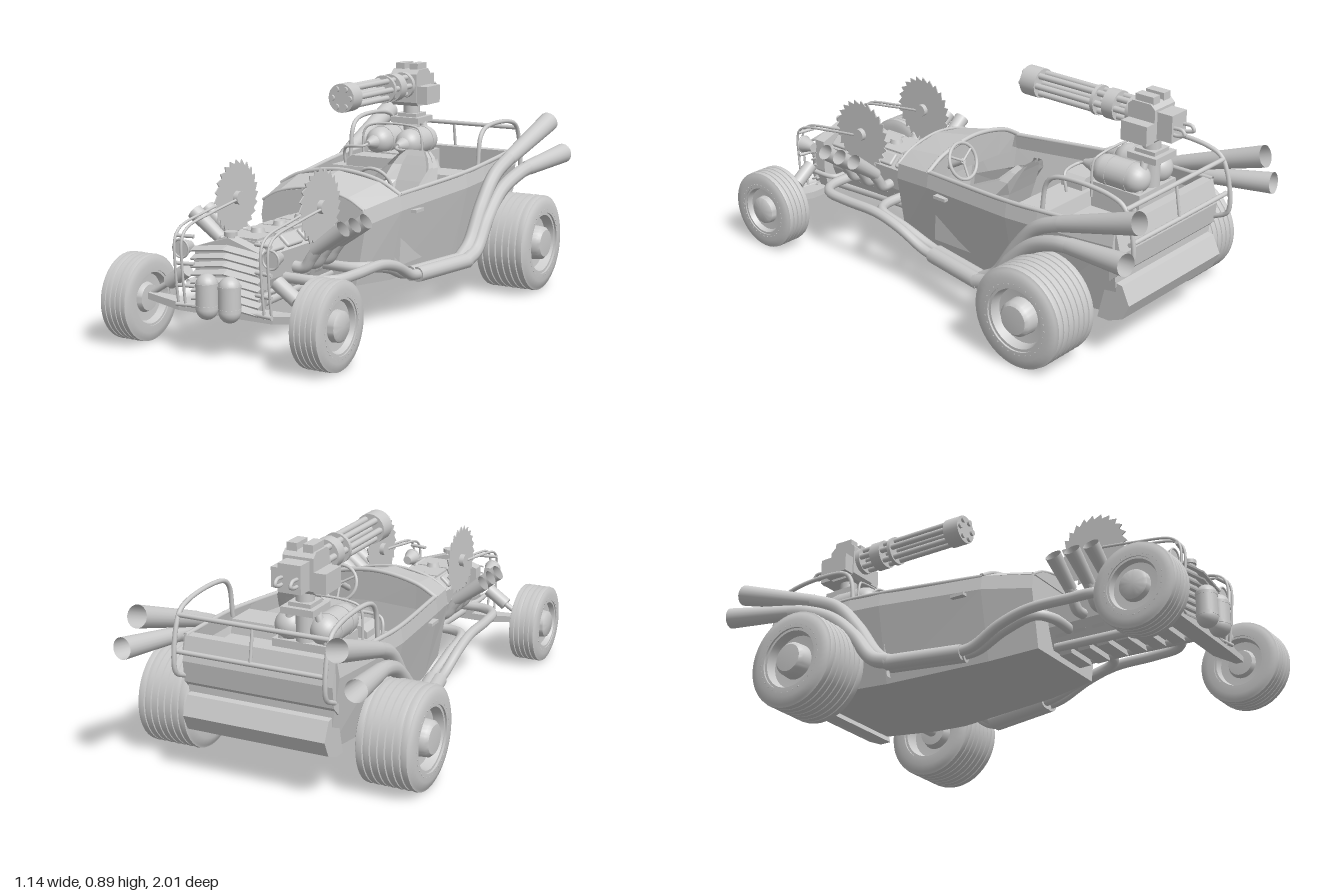
import * as THREE from 'three';
import { toCreasedNormals } from 'three/addons/utils/BufferGeometryUtils.js';
import { RoundedBoxGeometry } from 'three/addons/geometries/RoundedBoxGeometry.js';

const mat = new THREE.MeshStandardMaterial({ color: 0xcccccc });
const thin = new THREE.MeshStandardMaterial({ color: 0xcccccc, side: THREE.DoubleSide });
const V = (p) => new THREE.Vector3(...p);

export function createModel() {
  const root = new THREE.Group();
  let parent = root;
  const group = (name) => {
    parent = new THREE.Group();
    parent.name = name;
    root.add(parent);
    return parent;
  };
  const add = (name, geo, pos = [0, 0, 0], rot = [0, 0, 0], m = mat) => {
    const mesh = new THREE.Mesh(geo, m);
    mesh.name = name;
    mesh.position.set(...pos);
    mesh.rotation.set(...rot);
    parent.add(mesh);
    return mesh;
  };
  // box given by its minimum and maximum corners
  const box = (name, a, b) => add(name, new THREE.BoxGeometry(b[0] - a[0], b[1] - a[1], b[2] - a[2]),
    a.map((v, i) => (v + b[i]) / 2));
  // cylinder or cone between two points
  const rod = (name, a, b, r, r2 = r, open = false, seg = 16) => {
    const d = V(b).sub(V(a));
    const mesh = add(name, new THREE.CylinderGeometry(r2, r, d.length(), seg, 1, open), [0, 0, 0], [0, 0, 0], open ? thin : mat);
    mesh.position.copy(V(a).add(V(b)).multiplyScalar(0.5));
    mesh.quaternion.setFromUnitVectors(new THREE.Vector3(0, 1, 0), d.normalize());
  };
  const pipe = (name, pts, r) => add(name,
    new THREE.TubeGeometry(new THREE.CatmullRomCurve3(pts.map(V), false, 'centripetal'), pts.length * 7, r, 10), undefined, undefined, thin);
  const sidePipe = (name, s, pts, r) => pipe(name, pts.map(([x, y, z]) => [s * x, y, z]), r);
  // flat-sided skin through cross-sections with equal point counts
  const loft = (name, sections, closed = false, caps = []) => {
    const out = [];
    const n = sections[0].length;
    for (let i = 0; i + 1 < sections.length; i++) {
      for (let j = 0; j < (closed ? n : n - 1); j++) {
        const k = (j + 1) % n, [A, B] = [sections[i], sections[i + 1]];
        out.push(...A[j], ...B[j], ...B[k], ...A[j], ...B[k], ...A[k]);
      }
    }
    for (const c of caps) {
      const s = sections[c];
      for (let j = 1; j + 1 < n; j++) out.push(...s[0], ...s[c ? j + 1 : j], ...s[c ? j : j + 1]);
    }
    const g = new THREE.BufferGeometry();
    g.setAttribute('position', new THREE.Float32BufferAttribute(out, 3));
    g.computeVertexNormals();
    return add(name, g, undefined, undefined, thin);
  };

  // wheels: ribbed tyre, rim dished on both sides and hub cap
  const wheel = (s, x, y, z, r, w, ribs) => {
    const g = group((s > 0 ? 'left' : 'right') + (z > 0 ? 'Front' : 'Rear') + 'Wheel');
    const rim = r * 0.64, p = [[rim, -w], [r * 0.8, -w], [r * 0.93, -w * 0.93]];
    for (let i = 0; i < ribs; i++) {
      const c = -w * 0.9 + (i + 0.5) * 1.8 * w / ribs, h = 0.9 * w / ribs;
      p.push([r * 0.95, c - h], [r * 0.99, c - h * 0.8], [r, c], [r * 0.99, c + h * 0.8], [r * 0.95, c + h]);
    }
    p.push([r * 0.93, w * 0.93], [r * 0.8, w], [rim, w], [rim, -w]);
    const lathe = (q) => toCreasedNormals(new THREE.LatheGeometry(q.map((v) => new THREE.Vector2(...v)), 40), 0.7);
    const turn = [0, 0, -Math.PI / 2];
    add('tyre', lathe(p), [0, 0, 0], turn);
    add('rim', lathe([[0, -w * 0.4], [rim * 0.85, -w * 0.5], [rim * 0.92, -w * 0.93], [rim, -w * 0.93],
      [rim, w * 0.93], [rim * 0.92, w * 0.93], [rim * 0.85, w * 0.6], [0, w * 0.5]]), [0, 0, 0], turn);
    add('hubCap', lathe([[0, -w * 0.8], [r * 0.3, -w * 0.75], [r * 0.36, -w * 0.4], [r * 0.36, w * 0.5], [r * 0.34, w * 0.95], [r * 0.28, w * 1.06], [0, w * 1.1]]), [0, 0, 0], turn);
    for (let i = 0; i < 32; i++) {
      const a = i * Math.PI / 16;
      add('rimStud', new THREE.BoxGeometry(0.003, 0.004, 0.006), [w, Math.cos(a) * r * 0.7, Math.sin(a) * r * 0.7], [a, 0, 0]);
    }
    g.position.set(s * x, y, z);
    g.rotation.y = s > 0 ? 0 : Math.PI;
  };
  for (const s of [-1, 1]) {
    wheel(s, 0.398, 0.165, 0.84, 0.16, 0.061, 5);
    wheel(s, 0.448, 0.2, -0.59, 0.195, 0.112, 7);
  }

  // open body tub
  group('body');
  const tub = [[0.29, 0.22, 0.19, 0.45, 0.16], [0.09, 0.265, 0.22, 0.48, 0.145], [-0.35, 0.32, 0.265, 0.505, 0.14],
    [-0.5, 0.325, 0.27, 0.515, 0.15], [-0.83, 0.305, 0.27, 0.53, 0.19]];
  const ring = ([z, t, b, yt, yb], inset = 0) => [[-t + inset, yt, z], [-(t + 0.01) + inset, yt - 0.06, z], [-b + inset, yb + inset, z],
    [b - inset, yb + inset, z], [t + 0.01 - inset, yt - 0.06, z], [t - inset, yt, z]];
  loft('tub', tub.map((t) => ring(t)), false, [0, tub.length - 1]);
  loft('innerTub', tub.slice(1).map((t) => ring(t, 0.014)));
  for (const s of [-1, 1]) {
    pipe('rim', tub.slice(1).map(([z, t, , y]) => [s * (t - 0.006), y, z]), 0.009);
    box('doorHandle', [s * 0.292 - 0.012, 0.403, -0.03], [s * 0.292 + 0.012, 0.415, 0.03]);
  }
  const cowl = (z, w, y, h) => [-1, -0.68, 0, 0.68, 1].map((k, i) => [k * w, y + [0, 0.6, 1, 0.6, 0][i] * h, z]);
  loft('cowl', [cowl(0.295, 0.222, 0.45, 0.065), cowl(0.09, 0.267, 0.48, 0.075)], false, [0]);
  pipe('cowlRim', cowl(0.09, 0.267, 0.48, 0.075), 0.009);
  pipe('cowlFrontRim', cowl(0.29, 0.222, 0.45, 0.065), 0.006);
  loft('dashboard', [cowl(0.1, 0.262, 0.478, 0.07), cowl(0.11, 0.25, 0.4, 0.02)]);
  // rear bed, bulkhead and tail
  loft('bulkhead', [[[-0.29, 0.16, -0.33], [0.29, 0.16, -0.33]], [[-0.31, 0.485, -0.36], [0.31, 0.485, -0.36]],
    [[-0.31, 0.485, -0.49], [0.31, 0.485, -0.49]], [[-0.31, 0.43, -0.5], [0.31, 0.43, -0.5]], [[-0.295, 0.43, -0.83], [0.295, 0.43, -0.83]]]);
  const tail = (x, p) => p.map(([z, y]) => [x, y, z]);
  const roll = [[-0.75, 0.16], [-0.80, 0.16], [-0.86, 0.185], [-0.888, 0.245], [-0.855, 0.315], [-0.79, 0.325]];
  loft('tailRoll', [tail(-0.285, roll), tail(0.285, roll)], true, [0, 1]);
  const slope = [[-0.79, 0.53], [-0.83, 0.53], [-0.855, 0.44], [-0.845, 0.36], [-0.81, 0.325]];
  loft('tailPanel', [tail(-0.3, slope), tail(0.3, slope)], true, [0, 1]);

  // bed rails
  group('bedRails');
  for (const s of [-1, 1]) {
    pipe('sideRail', [[s * 0.3, 0.5, -0.5], [s * 0.3, 0.62, -0.52], [s * 0.3, 0.655, -0.56], [s * 0.3, 0.655, -0.8], [s * 0.3, 0.62, -0.87], [s * 0.3, 0.42, -0.905], [s * 0.3, 0.38, -0.84]], 0.009);
  }
  for (const [y, z] of [[0.62, -0.872], [0.49, -0.893]]) rod('rearBar', [-0.3, y, z], [0.3, y, z], 0.009);
  rod('railPost', [0, 0.49, -0.893], [0, 0.62, -0.872], 0.006);

  // driver's seat and steering wheel
  group('cockpit');
  const bucket = [[0.2, 0.125, -0.22, 0.29], [0.4, 0.13, -0.24, 0.3], [0.47, 0.125, -0.265, 0.16], [0.53, 0.105, -0.29, 0.05], [0.565, 0.08, -0.305, 0.03], [0.585, 0.055, -0.315, 0.02]];
  const shell = (f, dz) => bucket.map(([y, w, z, d]) => [[-1, d], [-1, d * 0.2], [-0.6, 0], [0.6, 0], [1, d * 0.2], [1, d]]
    .map(([k, e]) => [0.128 + k * w * f, y, z + e + dz]));
  loft('seatShell', shell(1, 0));
  loft('seatLining', shell(0.88, 0.015));
  add('seatCushion', new RoundedBoxGeometry(0.22, 0.09, 0.26, 3, 0.03), [0.128, 0.28, -0.09]);
  add('steeringWheel', new THREE.TorusGeometry(0.072, 0.007, 8, 28), [0.125, 0.5, 0.035], [1.0 - 0.6, 0, 0]);
  for (let i = 0; i < 3; i++) {
    const a = i * 2.094 + 0.52, c = Math.cos(a) * 0.07, h = Math.sin(a) * 0.07;
    rod('wheelSpoke', [0.125, 0.5, 0.035], [0.125 + c, 0.5 + h * 0.92, 0.035 + h * 0.39], 0.005);
  }
  rod('steeringColumn', [0.125, 0.5, 0.035], [0.125, 0.43, 0.16], 0.012);

  // engine block with intake caps, side covers and short stacks
  group('engine');
  loft('block', [0.28, 0.775].map((z) => [[-0.085, 0.19, z], [0.085, 0.19, z], [0.115, 0.27, z], [0.125, 0.36, z], [0.075, 0.405, z], [-0.075, 0.405, z], [-0.125, 0.36, z], [-0.115, 0.27, z]]), true, [0, 1]);
  for (let i = 0; i < 6; i++) {
    const z = 0.31 + i * 0.08;
    loft('sumpRib', [z, z + 0.05].map((q) => [[-0.07, 0.168, q], [0.07, 0.168, q], [0.105, 0.24, q], [-0.105, 0.24, q]]), true, [0, 1]);
  }
  for (let i = 0; i < 4; i++) box('topPlate', [-0.07, 0.395, 0.3 + i * 0.12], [0.07, 0.413, 0.41 + i * 0.12]);
  for (const z of [0.37, 0.515, 0.66]) rod('intakeCap', [0, 0.41, z], [0, 0.43, z], 0.028, 0.022, false, 24);
  for (const s of [-1, 1]) {
    for (let i = 0; i < 4; i++) add('headCover', new RoundedBoxGeometry(0.055, 0.02, 0.1, 2, 0.008), [s * 0.1, 0.386, 0.36 + i * 0.12], [0, 0, -s * 0.73]);
    for (const z of [0.44, 0.52, 0.6]) {
      sidePipe('stackElbow', s, [[0.1, 0.29, z], [0.16, 0.29, z], [0.19, 0.33, z], [0.22, 0.37, z]], 0.021);
      rod('stack', [s * 0.2, 0.355, z], [s * 0.32, 0.445, z], 0.024, 0.031, true);
    }
  }

  // exhausts along both sides
  group('exhausts');
  for (const s of [-1, 1]) {
    sidePipe('forwardPipe', s, [[0.1, 0.26, 0.66], [0.24, 0.26, 0.655], [0.295, 0.26, 0.61], [0.31, 0.26, 0.5], [0.315, 0.26, 0.32], [0.315, 0.23, 0.2], [0.31, 0.175, 0.08], [0.315, 0.165, 0.01]], 0.02);
    sidePipe('innerPipe', s, [[0.08, 0.25, 0.37], [0.22, 0.25, 0.37], [0.275, 0.25, 0.33], [0.28, 0.22, 0.2], [0.272, 0.175, 0.08], [0.28, 0.165, 0.01]], 0.02);
    for (const x of [0, 0.03]) rod('silencer', [s * (0.28 + x), 0.165, 0.03], [s * (0.345 + x), 0.17, -0.27], 0.03);
    sidePipe('upperPipe', s, [[0.345, 0.17, -0.25], [0.35, 0.22, -0.33], [0.353, 0.36, -0.43], [0.36, 0.47, -0.53], [0.37, 0.53, -0.66]], 0.029);
    rod('upperTailpipe', [s * 0.369, 0.523, -0.645], [s * 0.39, 0.637, -0.995], 0.03, 0.042, true, 20);
    sidePipe('lowerPipe', s, [[0.375, 0.17, -0.25], [0.38, 0.2, -0.33], [0.383, 0.31, -0.42], [0.39, 0.41, -0.53], [0.41, 0.465, -0.66], [0.42, 0.48, -0.74]], 0.029);
    rod('lowerTailpipe', [s * 0.417, 0.477, -0.72], [s * 0.46, 0.507, -0.995], 0.03, 0.041, true, 20);
  }

  // radiator grille with chevron slats and two bottles
  group('radiator');
  loft('radiatorShell', [0.8, 0.85].map((z) => [[-0.12, 0.16, z], [0.12, 0.16, z], [0.14, 0.25, z], [0.14, 0.38, z], [0, 0.425, z], [-0.14, 0.38, z], [-0.14, 0.25, z]]), true, [0, 1]);
  for (let i = 0; i < 8; i++) {
    for (const s of [-1, 1]) add('slat', new THREE.BoxGeometry(0.146, 0.006, 0.034), [s * 0.07, 0.18 + i * 0.029, 0.865], [0.35, 0, -s * 0.14]);
  }
  rod('fillerNeck', [0, 0.41, 0.83], [0, 0.435, 0.83], 0.014);
  rod('fillerCap', [0, 0.43, 0.83], [0, 0.445, 0.83], 0.024);
  for (const s of [-1, 1]) {
    add('bottle', new THREE.CapsuleGeometry(0.04, 0.085, 8, 20), [s * 0.048, 0.222, 0.912]);
    for (const y of [0.18, 0.26]) rod('bottleBand', [s * 0.048, y, 0.912], [s * 0.048, y + 0.012, 0.912], 0.0415);
  }

  // front suspension, lamps and saw arms
  group('frontEnd');
  const beam = (x, y, h, d) => [[x, y - h, 0.84 - d], [x, y - h, 0.84 + d], [x, y + h, 0.84 + d], [x, y + h, 0.84 - d]];
  loft('axleBeam', [beam(-0.35, 0.175, 0.012, 0.015), beam(-0.2, 0.16, 0.014, 0.035), beam(0.2, 0.16, 0.014, 0.035), beam(0.35, 0.175, 0.012, 0.015)], true, [0, 1]);
  rod('rearAxle', [-0.38, 0.2, -0.59], [0.38, 0.2, -0.59], 0.025);
  const teeth = new THREE.Shape();
  for (let i = 0; i < 24; i++) {
    const a = i * Math.PI / 12;
    teeth[i ? 'lineTo' : 'moveTo'](Math.cos(a) * 0.142, Math.sin(a) * 0.142);
    teeth.lineTo(Math.cos(a + 0.05) * 0.124, Math.sin(a + 0.05) * 0.124);
  }
  const blade = new THREE.ExtrudeGeometry(teeth, { depth: 0.004, bevelEnabled: false });
  for (const s of [-1, 1]) {
    rod('chassisRail', [s * 0.08, 0.2, 0.3], [s * 0.08, 0.18, 0.84], 0.018);
    sidePipe('frontBrace', s, [[0.1, 0.25, 0.72], [0.15, 0.25, 0.725], [0.165, 0.25, 0.75], [0.165, 0.25, 0.86]], 0.01);
    rod('shockBody', [s * 0.19, 0.285, 0.83], [s * 0.27, 0.23, 0.83], 0.027);
    rod('shockRod', [s * 0.26, 0.237, 0.83], [s * 0.35, 0.18, 0.83], 0.011);
    rod('headlight', [s * 0.19, 0.37, 0.81], [s * 0.19, 0.37, 0.865], 0.018, 0.034, false, 24);
    add('headlightRing', new THREE.TorusGeometry(0.033, 0.004, 8, 24), [s * 0.19, 0.37, 0.867]);
    for (const x of [0.167, 0.197]) {
      sidePipe('sawArm', s, [[x, 0.16, 0.875], [x, 0.3, 0.892], [x, 0.41, 0.892], [x, 0.445, 0.86], [x, 0.475, 0.7], [x, 0.497, 0.53]], 0.005);
    }
    for (const y of [0.17, 0.24, 0.32, 0.42]) rod('armBracket', [s * 0.13, y, 0.87], [s * 0.203, y, 0.883], 0.007);
    add('sawBlade', blade, [s * 0.181 - 0.002, 0.5, 0.53], [0, Math.PI / 2, 0]);
    rod('sawHub', [s * 0.16, 0.5, 0.53], [s * 0.203, 0.5, 0.53], 0.025);
  }

  // gas tanks and pedestal under the gun
  group('tanks');
  for (const [x, s] of [[-0.177, -1], [-0.037, 1]]) {
    add('tank', new THREE.CapsuleGeometry(0.058, 0.13, 10, 24), [x, 0.572, -0.6], [Math.PI / 2, 0, 0]);
    rod('tankNozzle', [x, 0.572, -0.48], [x, 0.572, -0.43], 0.03, 0.012);
    for (const z of [-0.55, -0.64]) rod('tankBand', [x, 0.572, z], [x, 0.572, z - 0.015], 0.06, 0.06, false, 24);
    pipe('tankHose', [[x, 0.572, -0.44], [x + s * 0.01, 0.565, -0.41], [x + s * 0.09, 0.555, -0.41], [x + s * 0.105, 0.53, -0.42], [x + s * 0.105, 0.48, -0.43]], 0.006);
  }
  loft('tankCradle', [-0.72, -0.5].map((z) => [[-0.22, 0.43, z], [0.01, 0.43, z], [0.01, 0.53, z], [-0.22, 0.53, z]]), true, [0, 1]);
  loft('ammoBox', [[0.48, 0.135], [0.51, 0.135], [0.53, 0.11]].map(([y, w]) => [[-0.107 - w, y, -0.47], [-0.107 + w, y, -0.47], [-0.107 + w, y, -0.37], [-0.107 - w, y, -0.37]]), true, [0, 2]);
  pipe('tankFrame', [[-0.25, 0.48, -0.52], [-0.24, 0.62, -0.52], [-0.21, 0.64, -0.53], [0.0, 0.64, -0.53], [0.025, 0.62, -0.52], [0.035, 0.48, -0.52]], 0.005);
  for (const x of [-0.23, 0.01]) rod('gunLeg', [x, 0.44, -0.7], [-0.107 + (x + 0.11) * 0.4, 0.65, -0.69], 0.015);

  // rotary gun
  group('rotaryGun');
  const gx = -0.107, gy = 0.803;
  box('mountPlate', [gx - 0.065, 0.64, -0.75], [gx + 0.065, 0.665, -0.62]);
  box('mountStep', [gx - 0.045, 0.665, -0.73], [gx + 0.045, 0.68, -0.64]);
  rod('swivel', [gx, 0.44, -0.685], [gx, 0.725, -0.685], 0.035);
  const chamfer = [[-0.615, 0.73], [-0.615, 0.85], [-0.635, 0.868], [-0.715, 0.868], [-0.735, 0.85], [-0.735, 0.73], [-0.72, 0.715], [-0.63, 0.715]];
  loft('receiver', [tail(gx - 0.061, chamfer), tail(gx + 0.061, chamfer)], true, [0, 1]);
  box('rearCase', [gx - 0.045, 0.735, -0.8], [gx + 0.045, 0.84, -0.73]);
  for (const s of [-1, 1]) {
    const x = gx + s * 0.084, h = gx + s * 0.03;
    box('sideCase', [x - 0.024, 0.725, -0.735], [x + 0.024, 0.8, -0.62]);
    box('topLug', [gx + s * 0.032 - 0.02, 0.86, -0.72], [gx + s * 0.032 + 0.02, 0.893, -0.64]);
    pipe('handle', [[h, 0.79, -0.79], [h, 0.79, -0.835], [h, 0.775, -0.845], [h, 0.765, -0.82], [h, 0.765, -0.79]], 0.007);
  }
  for (let i = 0; i < 6; i++) {
    const a = i * Math.PI / 3, x = gx + Math.cos(a) * 0.04, y = gy + Math.sin(a) * 0.04;
    rod('barrel', [x, y, -0.62], [x, y, -0.09], 0.012, 0.012, false, 12);
  }
  rod('spindle', [gx, gy, -0.62], [gx, gy, -0.1], 0.012);
  for (const [a, b, r] of [[-0.17, -0.1, 0.058], [-0.45, -0.435, 0.058], [-0.54, -0.49, 0.058], [-0.62, -0.595, 0.055]]) {
    rod('barrelClamp', [gx, gy, a], [gx, gy, b], r, r, false, 24);
  }
  return root;
}
